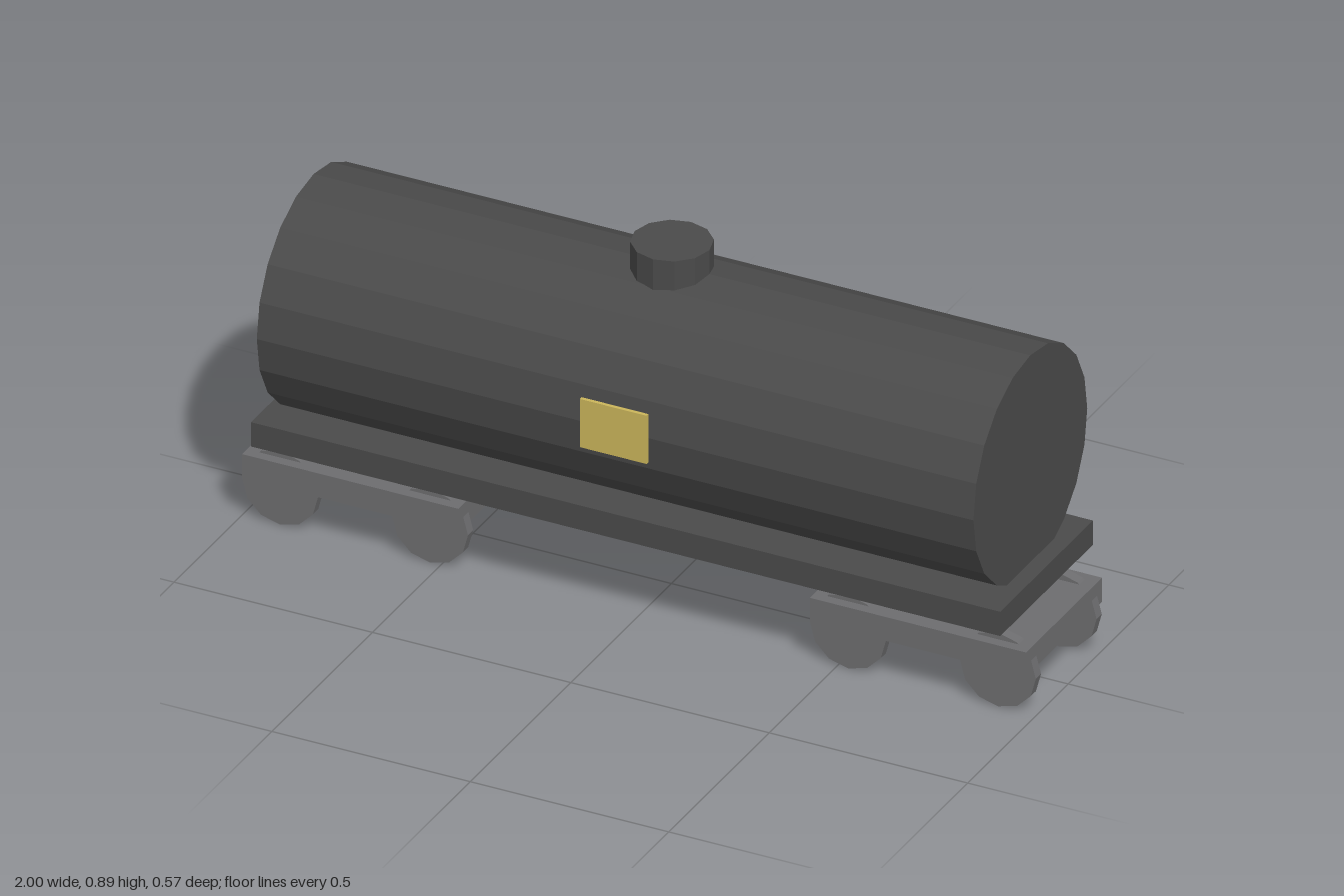
import * as THREE from 'three';

const mat = (name, color) => {
  const m = new THREE.MeshStandardMaterial({ color, flatShading: true });
  m.name = name;
  return m;
};

export function createModel() {
  const dark = mat('darkTankGrey', 0x4a4a4a);
  const grey = mat('bogieGrey', 0x6d6d6f);
  const yellow = mat('placardYellow', 0xcbb55a);

  const model = new THREE.Group();
  model.name = 'tankWagon';
  const body = new THREE.Group();
  body.name = 'wagon';
  body.position.z = -0.003; // balances the placard on the front
  model.add(body);

  const add = (parent, name, geometry, material, x, y, z) => {
    const mesh = new THREE.Mesh(geometry, material);
    mesh.name = name;
    mesh.position.set(x, y, z);
    parent.add(mesh);
    return mesh;
  };

  // Tank lying along x, with a hatch on top
  const tank = new THREE.CylinderGeometry(0.283, 0.283, 1.806, 20).rotateZ(Math.PI / 2);
  add(body, 'tank', tank, dark, 0, 0.543, 0);
  add(body, 'hatch', new THREE.CylinderGeometry(0.0945, 0.0945, 0.095, 12), dark, 0, 0.8405, 0);

  // Underframe and placard
  add(body, 'underframe', new THREE.BoxGeometry(1.888, 0.063, 0.461), dark, 0, 0.258, 0);
  add(body, 'placard', new THREE.BoxGeometry(0.168, 0.125, 0.009), yellow, 0, 0.543, 0.2875);

  // Two bogies with four wheels each
  const frame = new THREE.BoxGeometry(0.545, 0.062, 0.378);
  const wheel = new THREE.CylinderGeometry(0.0955, 0.0955, 0.026, 12).rotateX(Math.PI / 2);
  for (const side of [-1, 1]) {
    const bogie = new THREE.Group();
    bogie.name = side < 0 ? 'rightBogie' : 'leftBogie';
    bogie.position.x = side * 0.7155;
    body.add(bogie);
    add(bogie, 'bogieFrame', frame, grey, 0, 0.143, 0);
    for (const x of [-0.189, 0.189])
      for (const z of [-0.151, 0.151]) add(bogie, 'wheel', wheel, grey, x, 0.0955, z);
  }
  return model;
}
